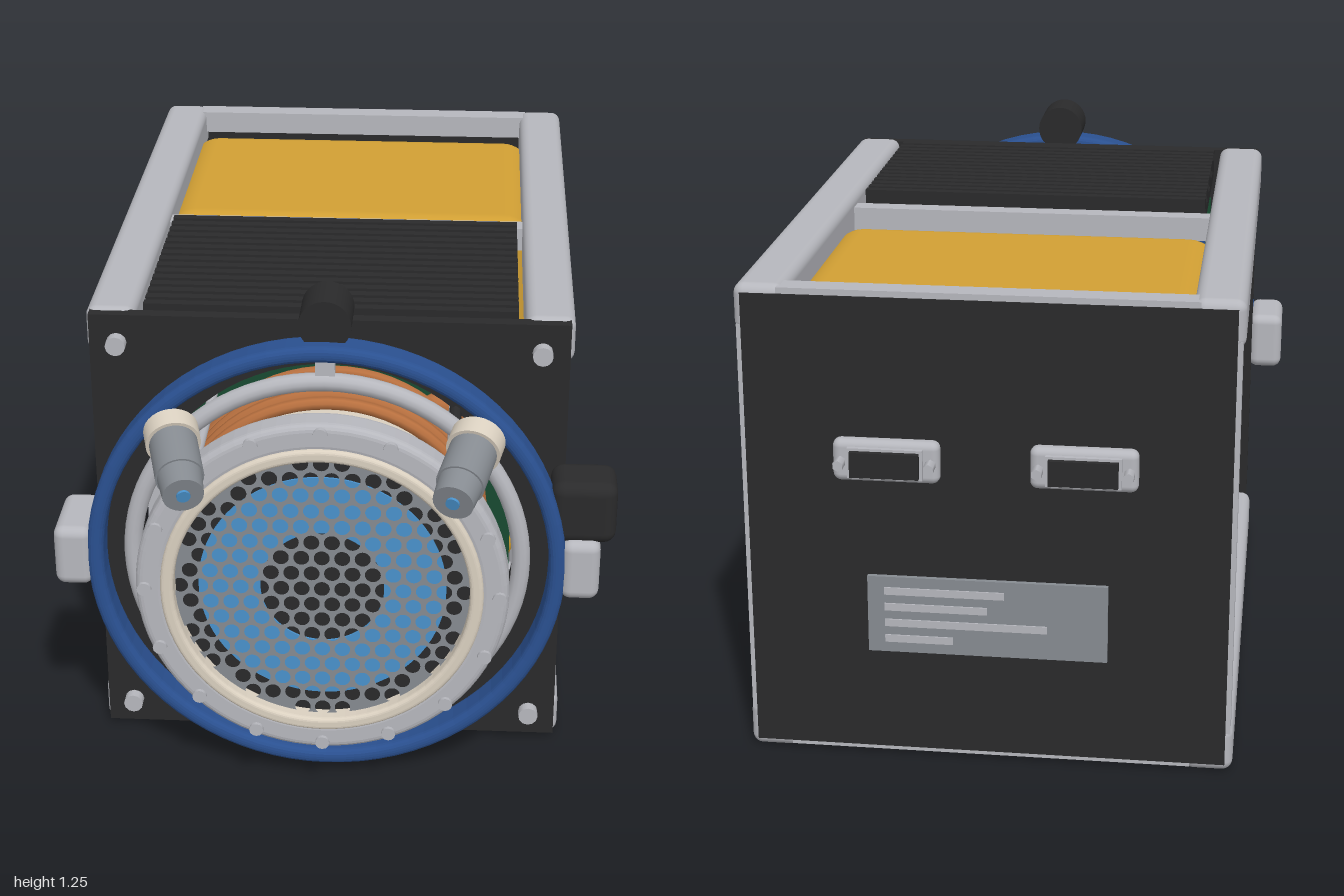
import * as THREE from 'three';
import { RoundedBoxGeometry } from 'three/addons/geometries/RoundedBoxGeometry.js';

export function createModel() {
  const material = (name, color) => Object.assign(new THREE.MeshStandardMaterial({ color }), { name });
  const silver = material('silver', 0xb6b7bd);
  const black = material('black', 0x2a2a2b);
  const yellow = material('yellow', 0xd2a034);
  const navy = material('navy blue', 0x2a5090);
  const sky = material('light blue', 0x4a92cc);
  const green = material('board green', 0x184a30);
  const copper = material('copper', 0xb8703f);
  const cream = material('cream', 0xdad0c0);
  const grey = material('grey', 0x868b91);

  const model = new THREE.Group();
  model.name = 'instrumentModule';
  const body = new THREE.Group();
  body.name = 'body';
  body.position.x = -0.02;
  model.add(body);
  const CY = 0.585; // height of the round axis

  const add = (name, geo, mat, x = 0, y = 0, z = 0, parent = body) => {
    const mesh = new THREE.Mesh(geo, mat);
    mesh.name = name;
    mesh.position.set(x, y, z);
    parent.add(mesh);
    return mesh;
  };
  const box = (w, h, d) => new THREE.BoxGeometry(w, h, d);
  const rbox = (w, h, d, r) => new RoundedBoxGeometry(w, h, d, 3, r);
  const cylZ = (r, d, n = 20, r2 = r) => new THREE.CylinderGeometry(r, r2, d, n).rotateX(Math.PI / 2);
  const circle = (Type, r, x = 0, y = 0) => new Type().absarc(x, y, r, 0, Math.PI * 2, false);
  const extrude = (shape, depth, bevel = 0) => new THREE.ExtrudeGeometry(shape, {
    depth, curveSegments: 40, bevelEnabled: bevel > 0, bevelSize: bevel, bevelThickness: bevel, bevelSegments: 4,
  });
  const ring = (outer, inner, depth, bevel = 0) => {
    const s = circle(THREE.Shape, outer - bevel);
    s.holes.push(circle(THREE.Path, inner + bevel));
    return extrude(s, depth - 2 * bevel, bevel).translate(0, 0, bevel);
  };
  const tube = (points, r, n = 30) => new THREE.TubeGeometry(
    new THREE.CatmullRomCurve3(points.map(p => new THREE.Vector3(...p))), n, r, 8);
  const sides = [-1, 1];

  // Frame: four long rails, side posts and cross bars
  for (const s of sides) {
    for (const y of [0.0625, 1.1025]) {
      add('frameRail', rbox(0.117, 0.115, 1.508, 0.025), silver, s * 0.517, y, -0.166);
    }
    add('middlePost', box(0.06, 0.96, 0.055), silver, s * 0.52, CY, -0.07);
    add('rearPost', box(0.1, 0.96, 0.066), silver, s * 0.519, CY, -0.884);
  }
  for (const [middleY, rearY] of [[0.075, 0.045], [1.1, 1.125]]) {
    add('middleCrossBar', box(0.95, 0.06, 0.05), silver, 0, middleY, -0.077);
    add('rearCrossBar', box(0.95, 0.06, 0.058), silver, 0, rearY, -0.889);
  }

  // Rounded yellow main block
  add('mainBlock', new RoundedBoxGeometry(0.985, 1.04, 0.71, 5, 0.08), yellow, 0, 0.583, -0.495);

  // Finned cooling cover
  add('coolerBase', box(0.885, 0.03, 0.575), black, 0, 1.1, 0.262);
  for (let i = 0; i < 15; i++) {
    add('coolerFin', box(0.885, 0.046, 0.024), black, 0, 1.136, -0.013 + i * 0.0392);
  }

  // Front plate with a round opening and corner screws
  const plate = new THREE.Shape([[-1, 0.02], [1, 0.02], [1, 1.153], [-1, 1.153]]
    .map(([x, y]) => new THREE.Vector2(x * 0.565, y)));
  plate.holes.push(circle(THREE.Path, 0.455, 0, CY));
  add('frontPlate', extrude(plate, 0.032), black, 0, 0, 0.573);
  for (const s of sides) for (const y of [0.085, 1.083]) {
    add('plateScrew', cylZ(0.024, 0.03, 12), silver, s * 0.5, y, 0.617);
  }

  // Back plate, connectors and label
  add('backPlate', box(1.115, 1.115, 0.012), black, 0, 0.583, -0.9155);
  for (const s of sides) {
    const port = new THREE.Group();
    port.name = 'connector';
    port.position.set(s * 0.225, 0.765, -0.925);
    body.add(port);
    add('connectorFlange', rbox(0.245, 0.1, 0.042, 0.018), silver, 0, 0, -0.02, port);
    add('connectorShell', box(0.172, 0.072, 0.03), silver, 0, 0, -0.037, port);
    add('connectorCore', box(0.158, 0.06, 0.03), black, 0, 0, -0.05, port);
    for (const e of sides) {
      add('connectorScrew', cylZ(0.013, 0.05, 6), silver, e * 0.103, 0, -0.05, port);
    }
  }
  add('label', box(0.56, 0.19, 0.012), grey, 0, 0.375, -0.927);
  [0.28, 0.24, 0.38, 0.16].forEach((w, i) =>
    add('labelBar', box(w, 0.018, 0.005), silver, 0.24 - w / 2, 0.435 - i * 0.04, -0.934));

  // Blue guard ring, inner rail ring, spokes and clamps
  add('guardRing', ring(0.57, 0.53, 0.082, 0.017), navy, 0, CY, 0.688);
  add('innerRing', new THREE.TorusGeometry(0.464, 0.022, 12, 80), silver, 0, CY, 0.72);
  for (const s of sides) {
    add('ringSpoke', box(0.045, 0.07, 0.03), silver, 0, CY + s * 0.51, 0.715);
    add('ringClamp', rbox(0.092, 0.155, 0.195, 0.025), silver, s * 0.604, 0.588, 0.672);
  }
  add('sideKnob', rbox(0.155, 0.158, 0.135, 0.03), black, 0.607, 0.732, 0.685);
  add('topKnob', cylZ(0.061, 0.12, 32), black, 0, 1.193, 0.672);

  // Drum, bezel and bolts
  add('drum', cylZ(0.34, 0.35, 48), cream, 0, CY, 0.515);
  add('drumHead', cylZ(0.365, 0.13, 48), black, 0, CY, 0.75);
  add('rearFlange', cylZ(0.38, 0.045, 48), silver, 0, CY, 0.327);
  add('bezel', ring(0.436, 0.365, 0.08, 0.018), silver, 0, CY, 0.81);
  add('creamRing', ring(0.377, 0.345, 0.08, 0.01), cream, 0, CY, 0.82);
  for (let i = 0; i < 16; i++) {
    const a = i * Math.PI / 8;
    add('bezelBolt', cylZ(0.017, 0.012, 12), silver, 0.414 * Math.cos(a), CY + 0.414 * Math.sin(a), 0.893);
  }

  // Perforated grille tiled from hexagons, over a light blue band
  const pitch = 0.0475;
  const cells = [];
  for (let row = -9; row <= 9; row++) for (let col = -9; col <= 9; col++) {
    const x = (col + (row % 2 ? 0.5 : 0)) * pitch;
    const y = row * pitch * Math.sqrt(3) / 2;
    const reach = Math.hypot(x, y);
    if (reach > 0.38) continue;
    const cell = new THREE.Shape([0, 1, 2, 3, 4, 5].map(k => {
      const a = (k + 0.5) * Math.PI / 3;
      return new THREE.Vector2(x + pitch / Math.sqrt(3) * Math.cos(a), y + pitch / Math.sqrt(3) * Math.sin(a));
    }));
    if (reach < 0.333) cell.holes.push(circle(THREE.Path, 0.0185, x, y));
    cells.push(cell);
  }
  add('grille', new THREE.ShapeGeometry(cells, 12), grey, 0, CY, 0.87);
  add('membrane', cylZ(0.35, 0.03, 40), black, 0, CY, 0.842);
  add('membraneBand', ring(0.29, 0.145, 0.005), sky, 0, CY, 0.858);

  // Copper coil around the drum
  const coil = [];
  for (let i = 0; i <= 100; i++) {
    const a = i * Math.PI / 10;
    coil.push([0.368 * Math.cos(a), CY + 0.368 * Math.sin(a), 0.45 + 0.22 * i / 100]);
  }
  add('coil', tube(coil, 0.015, 320), copper);

  // Two angled probes with collars
  for (const s of sides) {
    const tip = new THREE.Vector3(s * 0.3, 0.883, 0.985);
    const base = new THREE.Vector3(s * 0.355, 0.94, 0.77);
    const probe = new THREE.Group();
    probe.name = 'probe';
    probe.position.copy(base);
    probe.quaternion.setFromUnitVectors(new THREE.Vector3(0, 0, 1), tip.clone().sub(base).normalize());
    body.add(probe);
    add('probeCollar', cylZ(0.064, 0.05, 28), cream, 0, 0, 0.025, probe);
    add('probeBarrel', cylZ(0.056, 0.13, 28), grey, 0, 0, 0.1, probe);
    add('probeTip', cylZ(0.047, 0.065, 28, 0.052), grey, 0, 0, 0.192, probe);
    add('probeLens', cylZ(0.016, 0.008, 16), sky, 0, 0, 0.227, probe);
  }

  // Circuit boards
  for (const [z, mat] of [[0.387, green], [0.22, green], [0.05, navy]]) {
    add('circuitBoard', box(0.885, 0.96, 0.016), mat, 0, 0.58, z);
  }

  // Tie rods
  for (const s of sides) {
    for (const y of [0.215, 0.948]) add('boardRod', cylZ(0.014, 0.6, 12), silver, s * 0.375, y, 0.18);
    for (const y of [0.29, 0.88]) add('drumRod', cylZ(0.012, 0.5, 12), silver, s * 0.295, y, 0.58);
  }

  // Components on the boards
  for (const [z, r] of [[0.425, 0.035], [0.26, 0.078], [0.088, 0.078]]) {
    add('toroid', new THREE.TorusGeometry(r, 0.028, 12, 32), copper, 0.26, z > 0.4 ? 0.82 : 0.805, z);
  }
  for (const z of [0.25, 0.075]) {
    add('chip', box(0.2, 0.16, 0.03), black, -0.1, 0.62, z);
    add('regulator', box(0.09, 0.07, 0.06), navy, 0.25, 0.335, z + 0.04);
  }
  for (const z of [0.415, 0.25, 0.08]) {
    add('boardBar', rbox(0.05, 0.22, 0.035, 0.012), silver, 0.37, 0.38, z);
  }
  add('brassPlug', cylZ(0.026, 0.1, 16), yellow, 0.33, CY, 0.21);
  add('yellowModule', rbox(0.16, 0.145, 0.15, 0.015), yellow, -0.36, 0.205, -0.035);

  // Cables
  for (const x of [0.3, 0.36]) {
    add('blackCable', tube([[x, 0.88, 0.64], [x, 0.96, 0.56], [x, 1.0, 0.46], [x, 0.995, 0.25], [x, 0.965, 0]], 0.014), black);
  }
  add('silverCable', tube([[0.3, 0.21, 0.58], [0.32, 0.15, 0.53], [0.34, 0.19, 0.45], [0.35, 0.225, 0.3]], 0.014), silver);

  return model;
}
